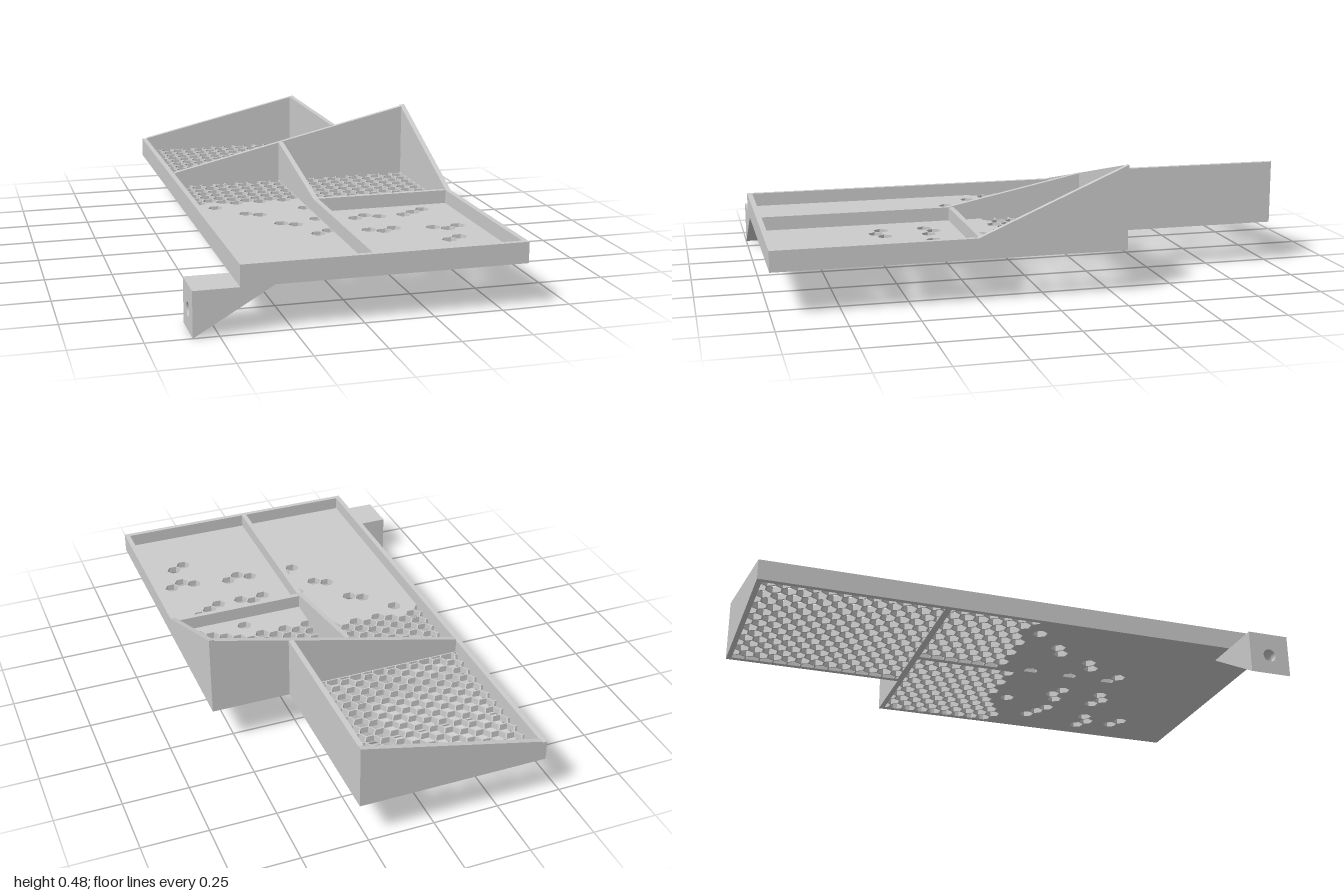
import * as THREE from 'three';

const material = new THREE.MeshStandardMaterial({ color: 0xcccccc, flatShading: true });
const BOTTOM = 0.163, FLOOR = 0.188, RIM = 0.24, T = 0.02;
const PITCH = 0.0555, COLUMN = 0.0481, HEX_R = 0.029;

const shapeOf = (pts) => new THREE.Shape(pts.map(([a, b]) => new THREE.Vector2(a, b)));
const extrude = (shape, depth) =>
  new THREE.ExtrudeGeometry(shape, { depth, bevelEnabled: false, curveSegments: 32 });

// Height of the slanted top line across the tray
const slant = (x) => RIM + ((x + 0.43) / 1.02) * 0.24;

// Cuts a convex polygon at one side of a rectangle
function cut(poly, axis, limit, sign) {
  const out = [];
  poly.forEach((a, i) => {
    const b = poly[(i + 1) % poly.length];
    const da = (limit - a[axis]) * sign, db = (limit - b[axis]) * sign;
    if (da >= 0) out.push(a);
    if (da * db < 0) {
      const t = da / (da - db);
      out.push([a[0] + (b[0] - a[0]) * t, a[1] + (b[1] - a[1]) * t]);
    }
  });
  return out;
}

// Single holes below the dense mesh, as [column, row]
const SINGLE = [
  [0, 0], [2, 2], [3, 2.5], [4, 5], [5, 5.5], [6, 8], [7, 1.5], [7, 4.5], [7, 7.5],
  [13, 1.5], [10, 5], [11, 4.5], [12, 5], [14, 5], [15, 4.5], [16, 4],
  [10, 8], [11, 8.5], [12, 8], [15, 8.5], [16, 9], [17, 8.5], [15, 11.5], [16, 11],
];

// Last row of the dense mesh in each column
function lastRow(k) {
  if (k === 0) return -2;
  if (k < 8) return k % 2 ? -1.5 : -1;
  return { 15: 0.5, 16: 1, 17: 1.5, 18: 1 }[k] ?? (k % 2 ? -0.5 : 0);
}

// Floor plate of one compartment; open = [x0, x1, z0, z1] inside its walls
function floorPlate(cell, open) {
  const [x0, x1, z0, z1] = cell;
  const shape = shapeOf([[x0, -z1], [x1, -z1], [x1, -z0], [x0, -z0]]);
  for (let k = -2; k <= 18; k++) {
    const half = k % 2 ? 0.5 : 0;
    for (let row = -20 + half; row < 13; row++) {
      if (row > lastRow(k) && !SINGLE.some(([a, b]) => a === k && b === row)) continue;
      const cx = -0.32 + k * COLUMN, cz = 0.098 + row * PITCH;
      let hex = [];
      for (let i = 0; i < 6; i++) {
        const a = (i * Math.PI) / 3;
        hex.push([cx + HEX_R * Math.cos(a), -cz - HEX_R * Math.sin(a)]);
      }
      hex = cut(hex, 0, open[1], 1);
      hex = cut(hex, 0, open[0], -1);
      hex = cut(hex, 1, -open[2], 1);
      hex = cut(hex, 1, -open[3], -1);
      if (hex.length < 3) continue;
      const hole = shapeOf(hex);
      if (Math.abs(THREE.ShapeUtils.area(hole.getPoints())) > 5e-5) shape.holes.push(hole);
    }
  }
  return extrude(shape, FLOOR - BOTTOM).rotateX(-Math.PI / 2).translate(0, BOTTOM, 0);
}

// Wall running along x, its top given by [x, y] points
function wallX(top, z) {
  const pts = [[top[0][0], FLOOR], ...top, [top[top.length - 1][0], FLOOR]];
  return extrude(shapeOf(pts), T).translate(0, 0, z);
}

// Wall running along z, its top given by [z, y] points
function wallZ(top, x) {
  const pts = [[top[0][0], FLOOR], ...top, [top[top.length - 1][0], FLOOR]];
  return extrude(shapeOf(pts.map(([z, y]) => [-z, y])), T).rotateY(Math.PI / 2).translate(x, 0, 0);
}

const circle = (u, v, r) => new THREE.Path().absarc(u, v, r, 0, Math.PI * 2, true);

export function createModel() {
  const model = new THREE.Group();
  model.name = 'compartmentTray';
  const add = (name, geometry) => {
    const mesh = new THREE.Mesh(geometry, material);
    mesh.name = name;
    model.add(mesh);
  };

  // Perforated floors
  add('backFloor', floorPlate([-0.43, 0.285, -1, -0.3], [-0.41, 0.265, -0.98, -0.305]));
  add('longFloor', floorPlate([-0.43, 0.04, -0.3, 1], [-0.41, 0.027, -0.28, 0.98]));
  add('sideBackFloor', floorPlate([0.04, 0.59, -0.3, 0.245], [0.05, 0.57, -0.28, 0.235]));
  add('sideFrontFloor', floorPlate([0.04, 0.59, 0.245, 1], [0.05, 0.57, 0.255, 0.98]));

  // Outer walls
  add('frontWall', wallX([[-0.41, RIM], [0.57, RIM]], 0.98));
  add('rightWall', wallZ([[-1, RIM], [1, RIM]], -0.43));
  add('leftWall', wallZ([[-0.3, 0.48], [0.26, RIM], [1, RIM]], 0.57));
  add('backWall', wallX([[-0.41, slant(-0.41)], [0.285, slant(0.285)]], -1));
  add('backLeftWall', wallZ([[-0.98, slant(0.275)], [-0.3, slant(0.275)]], 0.265));

  // Dividers
  add('middleWall', wallX([[-0.41, slant(-0.41)], [0.57, slant(0.57)]], -0.3));
  add('longDivider', wallZ([[-0.28, slant(0.04)], [0.26, RIM], [0.98, RIM]], 0.03));
  add('crossDivider', wallX([[0.05, RIM], [0.57, RIM]], 0.235));

  // Wedge lug under the front corner: a bored block whose far end is slanted
  const block = shapeOf([[-1, 0], [-0.84, 0], [-0.84, BOTTOM], [-1, BOTTOM]]);
  block.holes.push(circle(-0.92, 0.075, 0.045));
  const lug = extrude(block, 1).rotateY(Math.PI / 2);
  const p = lug.attributes.position;
  for (let i = 0; i < p.count; i++) {
    p.setX(i, -0.59 + p.getX(i) * 0.28 * (p.getY(i) / BOTTOM));
  }
  lug.computeVertexNormals();
  add('mountingLug', lug);

  // Seat narrowing the bore to the screw hole
  const ring = new THREE.Shape().absarc(-0.92, 0.075, 0.045, 0, Math.PI * 2, false);
  ring.holes.push(circle(-0.92, 0.075, 0.025));
  add('screwSeat', extrude(ring, 0.03).rotateY(Math.PI / 2).translate(-0.59, 0, 0));

  return model;
}
